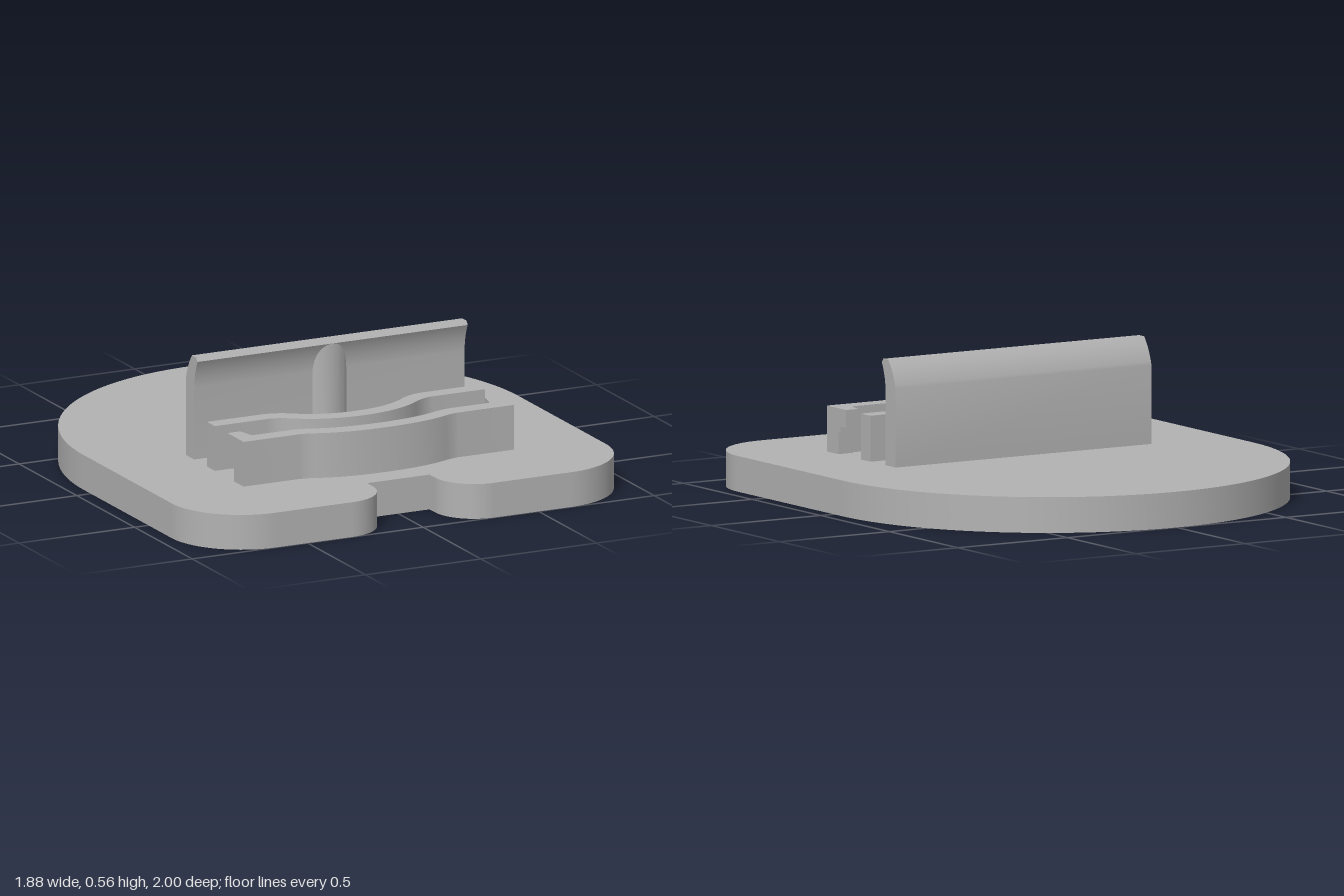
import * as THREE from 'three';
import { toCreasedNormals } from 'three/addons/utils/BufferGeometryUtils.js';

const grey = new THREE.MeshStandardMaterial({ color: 0xb2b2b2 });
grey.name = 'grey plastic';

const BASE_TOP = 0.14, WALL_TOP = 0.32, HALF = 0.585;

function part(name, geometry) {
  const mesh = new THREE.Mesh(toCreasedNormals(geometry, 0.5), grey);
  mesh.name = name;
  return mesh;
}

// Extrude a plan shape (drawn as x, -z) upwards from y0 to y1
function planPart(name, shape, y0, y1) {
  const g = new THREE.ExtrudeGeometry(shape, { depth: y1 - y0, bevelEnabled: false, curveSegments: 48 });
  g.rotateX(-Math.PI / 2);
  g.translate(0, y0, 0);
  return part(name, g);
}

const planShape = (pts) => new THREE.Shape(pts.map(([x, z]) => new THREE.Vector2(x, -z)));

// Rounded rear, rounded front corners and a cable notch in the front
function baseShape() {
  const s = new THREE.Shape(), w = 0.94, n = 0.135, r = 0.3, f = 0.17;
  s.moveTo(w, 0.06);
  s.absarc(0, 0.06, w, 0, Math.PI, false);
  s.lineTo(-w, -1 + r);
  s.absarc(-w + r, -1 + r, r, Math.PI, Math.PI * 1.5, false);
  s.lineTo(-n - f, -1);
  s.absarc(-n - f, -1 + f, f, -Math.PI / 2, 0, false);
  s.lineTo(-n, -0.785);
  s.lineTo(n, -0.785);
  s.lineTo(n, -1 + f);
  s.absarc(n + f, -1 + f, f, Math.PI, Math.PI * 1.5, false);
  s.lineTo(w - r, -1);
  s.absarc(w - r, -1 + r, r, -Math.PI / 2, 0, false);
  s.closePath();
  return s;
}

// Full edge, left to right, mirrored from two quadratic curves on the -x half
function bowedEdge(a, c1, b, c2, mid) {
  const v = (p) => new THREE.Vector2(...p);
  const half = [
    [-HALF, a[1]],
    ...new THREE.QuadraticBezierCurve(v(a), v(c1), v(b)).getPoints(8).map((p) => [p.x, p.y]),
    ...new THREE.QuadraticBezierCurve(v(b), v(c2), v(mid)).getPoints(14).slice(1).map((p) => [p.x, p.y]),
  ];
  return [...half, ...half.slice(0, -1).reverse().map(([x, z]) => [-x, z])];
}

const bowedWall = (name, back, front) =>
  planPart(name, planShape([...front, ...back.reverse()]), BASE_TOP, WALL_TOP);

export function createModel() {
  const model = new THREE.Group();
  model.name = 'stand';

  // Base plate with a shallow round recess underneath
  const recess = 0.04;
  const rim = baseShape();
  rim.holes.push(new THREE.Path().absarc(0, 0.06, 0.76, 0, Math.PI * 2, true));
  model.add(planPart('baseRim', rim, 0, recess));
  model.add(planPart('basePlate', baseShape(), recess, BASE_TOP));

  // Tall back plate, its top curling forward
  const p = new THREE.Shape();
  p.moveTo(-0.115, BASE_TOP);
  p.lineTo(-0.115, 0.45);
  p.quadraticCurveTo(-0.13, 0.51, -0.168, 0.555);
  p.lineTo(-0.205, 0.555);
  p.lineTo(-0.215, 0.54);
  p.quadraticCurveTo(-0.19, 0.49, -0.187, 0.43);
  p.lineTo(-0.187, BASE_TOP);
  p.closePath();
  const plate = new THREE.ExtrudeGeometry(p, { depth: HALF * 2, bevelEnabled: false, curveSegments: 10 });
  plate.translate(0, 0, -HALF);
  plate.rotateY(Math.PI / 2);
  model.add(part('backPlate', plate));

  // Rounded rib up the middle of the back plate
  const rib = [];
  for (let i = 0; i <= 16; i++) {
    const a = (i / 16 - 0.5) * 1.5;
    rib.push([0.11 * Math.sin(a), 0.105 + 0.11 * Math.cos(a)]);
  }
  model.add(planPart('centreRib', planShape(rib), BASE_TOP, 0.54));

  // Bowed walls
  model.add(bowedWall('middleWall',
    bowedEdge([-0.35, 0.298], [-0.29, 0.298], [-0.23, 0.345], [-0.137, 0.415], [0, 0.415]),
    bowedEdge([-0.36, 0.366], [-0.318, 0.366], [-0.27, 0.401], [-0.158, 0.485], [0, 0.485])));
  model.add(bowedWall('frontWall',
    bowedEdge([-0.35, 0.545], [-0.31, 0.545], [-0.26, 0.565], [-0.16, 0.605], [0, 0.605]),
    bowedEdge([-0.35, 0.615], [-0.32, 0.615], [-0.28, 0.631], [-0.17, 0.675], [0, 0.675])));

  // Stepped hooks at both ends of the front wall
  const steps = [[0.532, BASE_TOP, 0.225], [0.516, 0.225, 0.25], [0.475, 0.25, WALL_TOP]];
  for (const side of [-1, 1]) {
    const hook = new THREE.Group();
    hook.name = side > 0 ? 'leftHook' : 'rightHook';
    for (const [z, y0, y1] of steps) {
      const inner = 0.515 + 0.015 * (0.545 - z) / 0.07;
      const pts = [[HALF, 0.545], [HALF, z], [inner, z], [0.515, 0.545]];
      hook.add(planPart('hookStep', planShape(pts.map(([x, d]) => [side * x, d])), y0, y1));
    }
    model.add(hook);
  }
  return model;
}
